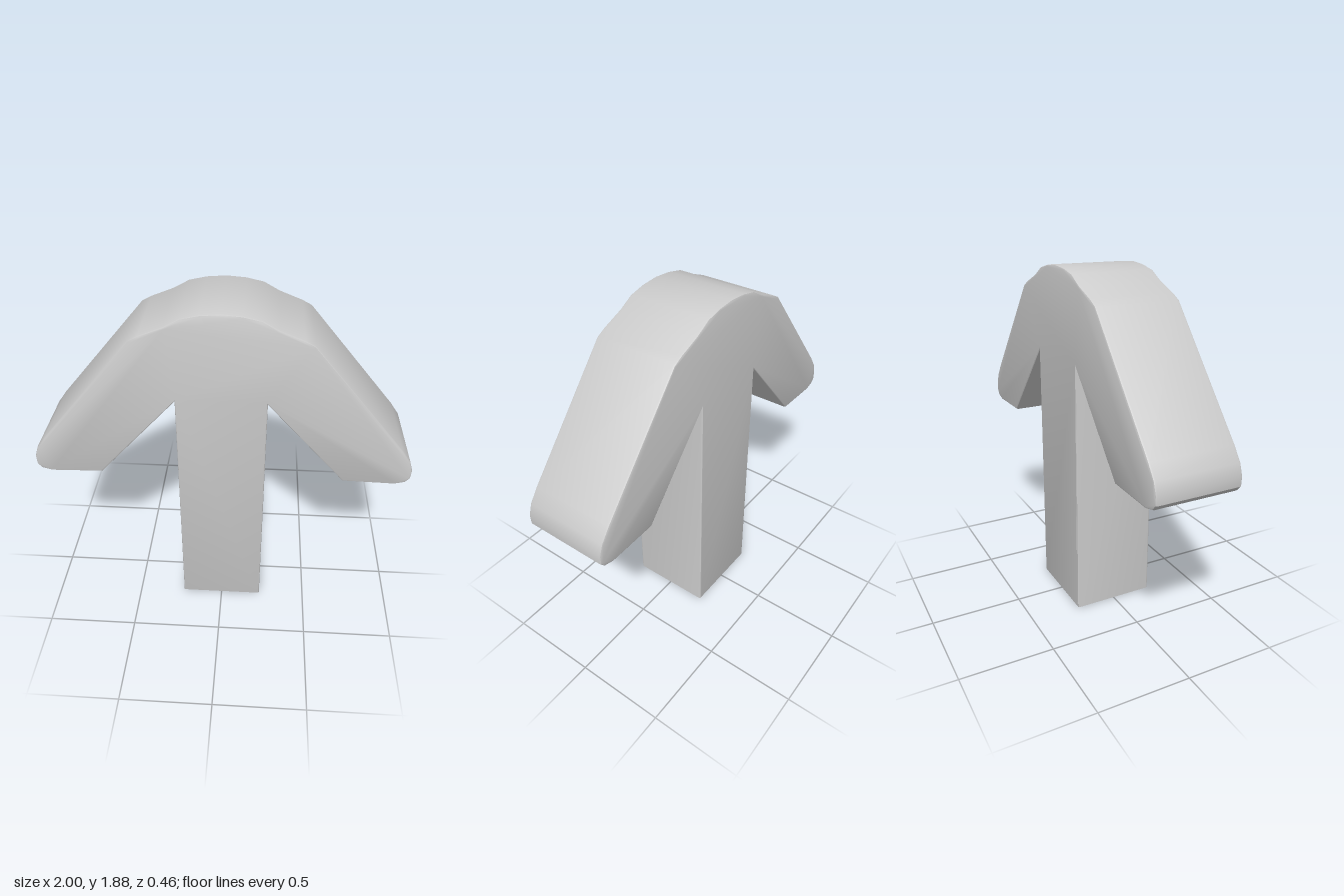
import * as THREE from 'three';
import { toCreasedNormals } from 'three/addons/utils/BufferGeometryUtils.js';

const DEPTH = 0.46;
const BEVEL = 0.01;

// Right half of the outline, from the foot of the shaft up to the crown.
const half = [
  [0.232, 0], [0.232, 1.4],                                   // shaft side, inner corner
  [0.645, 0.935], [0.92, 0.928], [0.975, 0.943],              // underside of the arm
  [0.998, 0.97], [1.0, 1.02], [0.98, 1.08], [0.93, 1.15],     // rounded arm tip
  [0.44, 1.73], [0.39, 1.757], [0.27, 1.805],                 // sloping shoulder
  [0.19, 1.85], [0.1, 1.87], [0, 1.878],                      // domed crown
];

export function createModel() {
  const group = new THREE.Group();
  group.name = 'upArrow';

  // Mirror the half outline, leaving out the shared crown point.
  const mirrored = half.slice(0, -1).reverse().map(([x, y]) => [-x, y]);
  const outline = new THREE.Shape([...half, ...mirrored].map(([x, y]) => new THREE.Vector2(x, y)));

  // Thick slab with slightly softened front and back rims.
  const slab = new THREE.ExtrudeGeometry(outline, {
    depth: DEPTH - 2 * BEVEL,
    bevelEnabled: true,
    bevelThickness: BEVEL,
    bevelSize: BEVEL,
    bevelOffset: -BEVEL,
    bevelSegments: 2,
  });
  slab.translate(0, 0, BEVEL - DEPTH / 2);

  const arrow = new THREE.Mesh(
    toCreasedNormals(slab, THREE.MathUtils.degToRad(35)),
    new THREE.MeshStandardMaterial({ color: 0xcccccc }),
  );
  arrow.name = 'arrowBody';
  group.add(arrow);
  return group;
}
